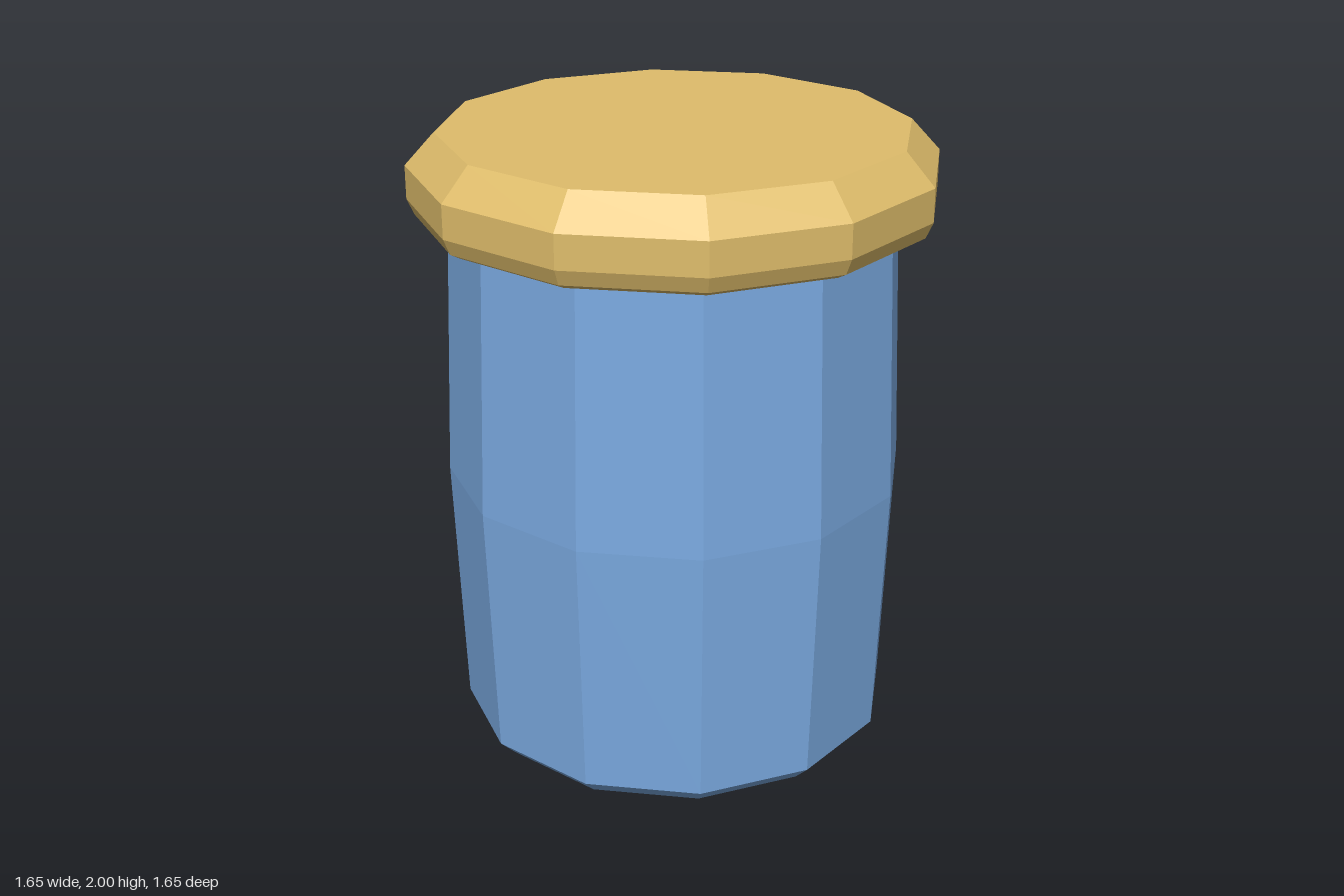
import * as THREE from 'three';

const SIDES = 12;

// Faceted solid of revolution from [radius, height] pairs, listed bottom to top
function turned(name, profile, material) {
  const points = profile.map(([r, y]) => new THREE.Vector2(r, y));
  const geometry = new THREE.LatheGeometry(points, SIDES).toNonIndexed();
  geometry.computeVertexNormals();
  const mesh = new THREE.Mesh(geometry, material);
  mesh.name = name;
  return mesh;
}

export function createModel() {
  const blue = new THREE.MeshStandardMaterial({ color: 0x7aa9e0 });
  blue.name = 'blue glaze';
  const tan = new THREE.MeshStandardMaterial({ color: 0xdfbd6b });
  tan.name = 'tan lid';

  const jar = new THREE.Group();
  jar.name = 'jar';

  // Slightly bulging body with a bevelled foot
  jar.add(turned('body', [
    [0, 0], [0.65, 0], [0.705, 0.055], [0.735, 0.89], [0.703, 1.74], [0, 1.74],
  ], blue));

  // Wide lid with a rounded lower rim and a bevelled top
  jar.add(turned('lid', [
    [0, 1.727], [0.77, 1.727], [0.803, 1.745], [0.825, 1.795],
    [0.825, 1.9], [0.733, 2], [0, 2],
  ], tan));

  return jar;
}
